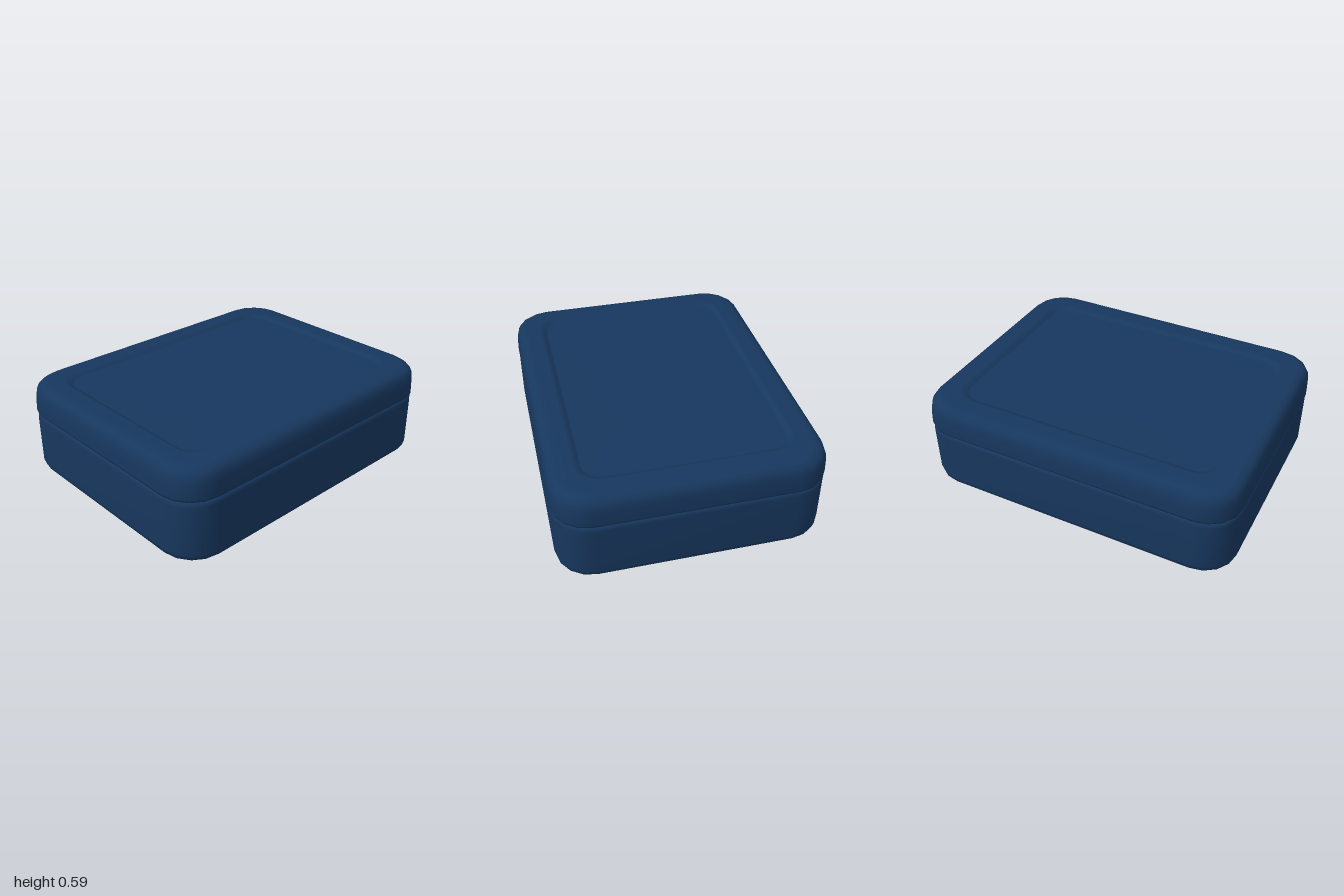
import * as THREE from 'three';

const HALF_X = 0.78, HALF_Z = 1, CORNER = 0.21, SEGMENTS = 4;

// One rounded-rectangle ring, drawn in from the widest outline by inset
function ring(inset, y) {
  const r = CORNER - inset * 0.5;
  const cx = HALF_X - inset - r, cz = HALF_Z - inset - r;
  const signs = [[1, -1], [-1, -1], [-1, 1], [1, 1]];
  const points = [];
  signs.forEach(([sx, sz], corner) => {
    for (let k = 0; k <= SEGMENTS; k++) {
      const a = (corner + k / SEGMENTS) * Math.PI / 2;
      points.push([sx * cx + r * Math.cos(a), y, sz * cz - r * Math.sin(a)]);
    }
  });
  return points;
}

// Smooth closed shell through rings given as [inset, y], from bottom to top
function shell(profile) {
  const n = 4 * (SEGMENTS + 1);
  const last = profile.length - 1;
  const points = profile.flatMap(([inset, y]) => ring(inset, y));
  const bottom = points.push([0, profile[0][1], 0]) - 1;
  const top = points.push([0, profile[last][1], 0]) - 1;
  const index = [];
  for (let i = 0; i < n; i++) {
    const j = (i + 1) % n;
    for (let k = 0; k < last; k++) {
      const a = k * n + i, b = k * n + j;
      index.push(a, b, b + n, a, b + n, a + n);
    }
    index.push(bottom, j, i, top, last * n + i, last * n + j);
  }
  const geometry = new THREE.BufferGeometry();
  geometry.setAttribute('position', new THREE.Float32BufferAttribute(points.flat(), 3));
  geometry.setIndex(index);
  geometry.computeVertexNormals();
  return geometry;
}

export function createModel() {
  const group = new THREE.Group();
  group.name = 'box';
  const material = new THREE.MeshStandardMaterial({ color: 0x17375e });

  // Base: shallow panel underneath, rounded foot, straight walls, eased rim
  const base = new THREE.Mesh(shell([
    [0.2, 0.02], [0.19, 0.015], [0.17, 0.002], [0.15, 0],
    [0.07, 0], [0.035, 0.012], [0.012, 0.035], [0.003, 0.07],
    [0.003, 0.37], [0.006, 0.388], [0.016, 0.398], [0.05, 0.4],
  ]), material);
  base.name = 'base';

  // Lid: slightly flared lip, rounded shoulder, recessed panel on top
  const lid = new THREE.Mesh(shell([
    [0.05, 0.4], [0.014, 0.4], [0.003, 0.406], [0, 0.42],
    [0.003, 0.5], [0.008, 0.535], [0.02, 0.563], [0.042, 0.582], [0.07, 0.59],
    [0.155, 0.59], [0.17, 0.588], [0.19, 0.575], [0.2, 0.57],
  ]), material);
  lid.name = 'lid';

  group.add(base, lid);
  return group;
}
